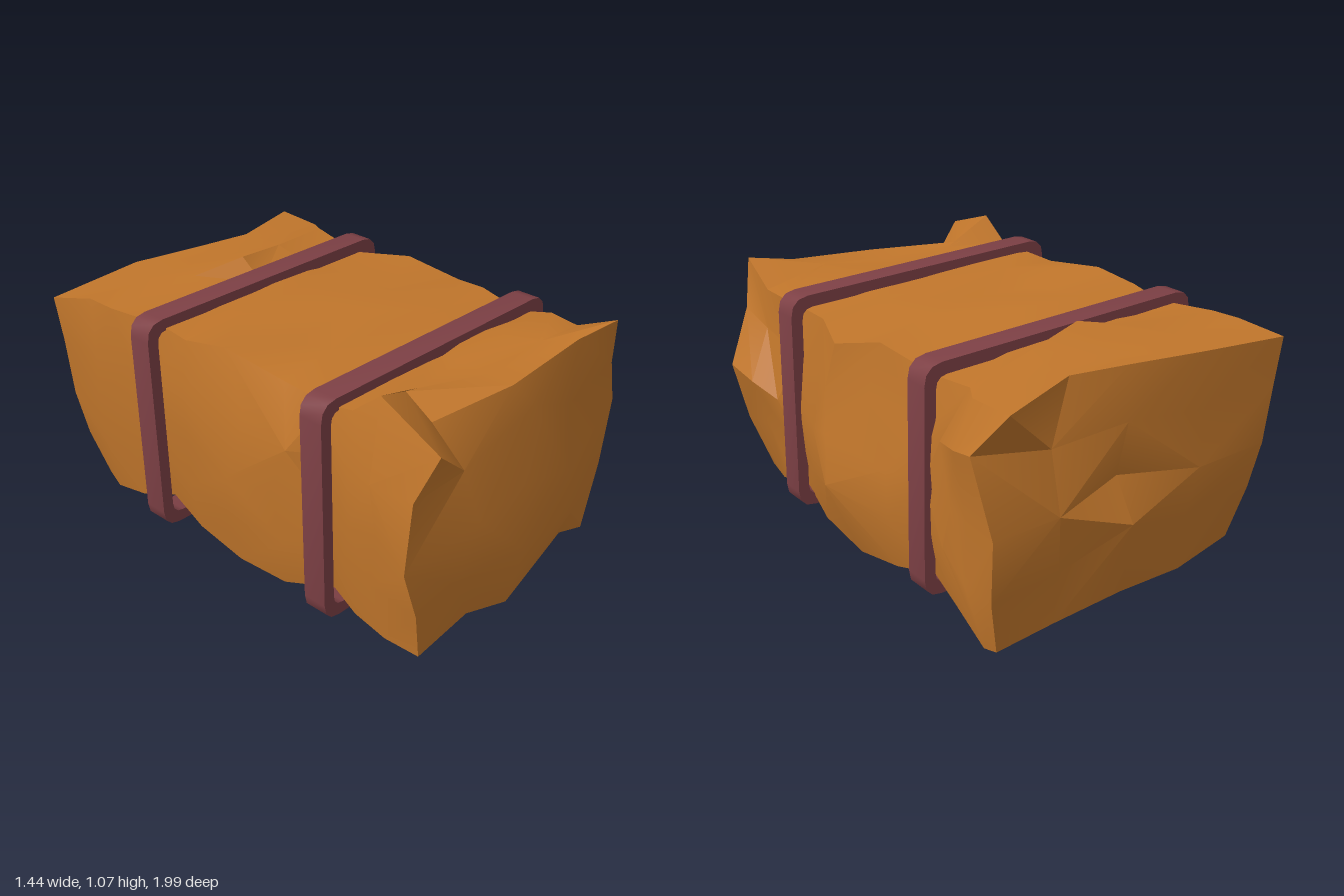
import * as THREE from 'three';
import { toCreasedNormals } from 'three/addons/utils/BufferGeometryUtils.js';

const { lerp } = THREE.MathUtils;

// Repeatable value in -1..1 for a grid point
function jitter(i, j, k, n) {
  const s = Math.sin(i * 12.99 + j * 78.23 + k * 37.72 + n * 19.19) * 43758.5453;
  return (s - Math.floor(s)) * 2 - 1;
}

// Sections along the bale: z, bottom, top, extra half width
const SECTIONS = [
  [-0.95, 0.05, 0.96, 0], [-0.8, 0.04, 0.97, 0.02], [-0.61, 0.07, 0.98, 0],
  [-0.46, 0.11, 0.95, -0.03], [-0.25, 0.06, 0.97, 0.01], [0, 0.03, 0.96, 0.03],
  [0.25, 0.04, 0.97, 0.01], [0.46, 0.11, 0.95, -0.03], [0.6, 0.07, 0.97, 0],
  [0.74, 0.06, 0.98, 0.01], [0.93, 0.1, 0.98, 0],
];
const LEFT_X = [-0.62, -0.65, -0.66, -0.66, -0.64];
const RIGHT_X = [0.58, 0.61, 0.62, 0.6, 0.56];
// Tilt of the underside and top from left to right
const BOTTOM_TILT = [0.04, 0.01, 0, -0.015, 0];
const TOP_TILT = [0.015, 0.01, 0.005, -0.005, -0.03];

// Rims of the two end faces: bottom and top rows, then the side points between
const FRONT = {
  bottom: [[-0.64, 0.11, 0.93], [-0.35, 0.13, 0.92], [-0.14, 0.08, 0.95], [0.28, 0.16, 0.9], [0.51, 0.05, 0.86]],
  top: [[-0.63, 0.98, 0.99], [-0.41, 0.93, 0.77], [-0.06, 0.97, 0.86], [0.35, 1.0, 0.86], [0.54, 1.03, 0.91]],
  left: [[-0.66, 0.3, 0.93], [-0.72, 0.51, 0.92], [-0.67, 0.78, 0.91]],
  right: [[0.62, 0.32, 0.85], [0.69, 0.59, 0.84], [0.58, 0.82, 0.88]],
};
const BACK = {
  bottom: [[-0.6, 0.08, -0.9], [-0.31, 0.04, -0.92], [0, 0.05, -0.92], [0.32, 0.02, -0.9], [0.6, 0.02, -0.92]],
  top: [[-0.72, 0.95, -1], [-0.3, 0.98, -0.98], [0.0, 0.98, -0.91], [0.24, 0.98, -0.86], [0.59, 0.96, -0.97]],
  left: [[-0.66, 0.3, -0.94], [-0.69, 0.5, -0.97], [-0.7, 0.75, -0.99]],
  right: [[0.64, 0.24, -0.94], [0.65, 0.5, -0.96], [0.68, 0.8, -0.87]],
};

// Single peaks and folds, by grid position
const PEAKS = {
  // top ridges
  '0,4,9': [-0.59, 1.08, 0.69], '1,4,9': [-0.4, 1.0, 0.64], '2,4,9': [-0.04, 0.96, 0.73],
  '0,4,8': [-0.6, 0.98, 0.57], '3,4,8': [0.2, 0.99, 0.58], '0,4,6': [-0.6, 0.97, 0.23],
  '0,4,5': [-0.62, 1.01, -0.06], '4,4,5': [0.63, 0.91, 0.06], '2,4,4': [0, 1.0, -0.25], '4,4,4': [0.57, 0.97, -0.17],
  '0,4,2': [-0.66, 0.98, -0.69], '1,4,2': [-0.25, 1.0, -0.65], '2,4,2': [-0.04, 1.04, -0.58],
  '3,4,2': [0.22, 1.0, -0.63], '4,4,2': [0.55, 0.96, -0.7],
  // side of the bale on +x, with its pleats
  '4,2,9': [0.68, 0.56, 0.68], '4,3,9': [0.57, 0.77, 0.72], '4,1,9': [0.61, 0.34, 0.68], '4,3,8': [0.55, 0.72, 0.57],
  '4,0,9': [0.55, 0.06, 0.69], '4,0,8': [0.56, 0.09, 0.57], '4,1,8': [0.57, 0.3, 0.57],
  '4,1,5': [0.72, 0.34, 0.03], '4,2,5': [0.68, 0.53, 0.08], '4,3,5': [0.65, 0.72, 0.11], '4,3,4': [0.6, 0.75, -0.12],
  '4,2,2': [0.58, 0.47, -0.62], '4,1,1': [0.65, 0.25, -0.8], '4,2,1': [0.63, 0.49, -0.78], '4,3,1': [0.66, 0.77, -0.75],
  // other side and underside
  '0,2,5': [-0.7, 0.5, 0], '0,3,5': [-0.67, 0.8, 0.08], '0,2,6': [-0.66, 0.5, 0.2], '0,3,6': [-0.69, 0.75, 0.32],
  '3,0,6': [0.33, 0.01, 0.28], '2,0,5': [0, 0.02, 0.05], '4,0,1': [0.61, 0.01, -0.86],
  // front face
  '1,1,10': [-0.44, 0.33, 0.93], '2,1,10': [-0.04, 0.27, 0.95], '3,1,10': [0.36, 0.28, 0.92],
  '1,2,10': [-0.3, 0.52, 0.92], '2,2,10': [0, 0.55, 0.92], '3,2,10': [0.27, 0.47, 0.92],
  '1,3,10': [-0.34, 0.74, 0.87], '2,3,10': [0.06, 0.84, 0.88], '3,3,10': [0.3, 0.75, 0.88],
  // back face
  '3,3,0': [0.33, 0.73, -0.88], '2,3,0': [0, 0.76, -0.92], '2,2,0': [0.02, 0.54, -0.89],
  '3,2,0': [0.35, 0.5, -0.96], '2,1,0': [0, 0.36, -0.97],
};

function endPoint(rim, i, j, k) {
  if (j === 0) return rim.bottom[i];
  if (j === 4) return rim.top[i];
  if (i === 0) return rim.left[j - 1];
  if (i === 4) return rim.right[j - 1];
  // Inside the face, blend the rims and crumple a little
  const L = rim.left[j - 1], R = rim.right[j - 1], B = rim.bottom[i], T = rim.top[i];
  return [
    lerp(L[0], R[0], i / 4) + 0.03 * jitter(i, j, k, 1),
    lerp(B[1], T[1], j / 4) + 0.03 * jitter(i, j, k, 2),
    (lerp(L[2], R[2], i / 4) + lerp(B[2], T[2], j / 4)) / 2,
  ];
}

function balePoint(i, j, k) {
  const peak = PEAKS[`${i},${j},${k}`];
  if (peak) return peak;
  if (k === 0) return endPoint(BACK, i, j, k);
  if (k === 10) return endPoint(FRONT, i, j, k);
  const [z, low, high, wide] = SECTIONS[k];
  const loose = k === 3 || k === 7 ? 0.3 : 1;
  return [
    lerp(LEFT_X[j] - wide, RIGHT_X[j] + wide, i / 4) + 0.015 * loose * jitter(i, j, k, 1),
    lerp(low + BOTTOM_TILT[i], high + TOP_TILT[i], j / 4) + 0.015 * loose * jitter(i, j, k, 2),
    z + 0.04 * loose * jitter(i, j, k, 3),
  ];
}

// Crumpled bale: a gridded box with every grid point moved
function createBale() {
  const geometry = new THREE.BoxGeometry(4, 4, 10, 4, 4, 10);
  geometry.deleteAttribute('normal');
  geometry.deleteAttribute('uv');
  const p = geometry.attributes.position;
  for (let n = 0; n < p.count; n++) {
    const i = Math.round(p.getX(n) + 2), j = Math.round(p.getY(n) + 2), k = Math.round(p.getZ(n) + 5);
    p.setXYZ(n, ...balePoint(i, j, k));
  }
  // Fold each cell along the diagonal that stands further out
  const index = geometry.index.array;
  const centre = new THREE.Vector3(0, 0.5, 0);
  const at = (n) => new THREE.Vector3().fromBufferAttribute(p, n);
  const reach = (m, n) => at(m).add(at(n)).multiplyScalar(0.5).distanceTo(centre);
  for (let q = 0; q < index.length; q += 6) {
    const [a, b, d, , c] = index.subarray(q, q + 6);
    if (reach(a, c) > reach(b, d)) index.set([a, b, c, a, c, d], q);
  }
  const mesh = new THREE.Mesh(toCreasedNormals(geometry, 0.5),
    new THREE.MeshStandardMaterial({ color: 0xc1762b }));
  mesh.name = 'bale';
  return mesh;
}

// Closed loop through four corners, each corner rounded
function roundedLoop(path, corners, r) {
  const v = corners.map(([x, y]) => new THREE.Vector2(x, y));
  v.forEach((c, n) => {
    const before = v[(n + 3) % 4], after = v[(n + 1) % 4];
    const a = c.clone().add(before.clone().sub(c).setLength(r));
    const b = c.clone().add(after.clone().sub(c).setLength(r));
    if (n === 0) path.moveTo(a.x, a.y); else path.lineTo(a.x, a.y);
    path.quadraticCurveTo(c.x, c.y, b.x, b.y);
  });
  path.closePath();
  return path;
}

// Strap: a flat band around the bale
function createStrap(name, z, shift) {
  const shape = roundedLoop(new THREE.Shape(),
    [[-0.69, 0.06], [0.635, 0.045], [0.62, 0.99], [-0.7, 1.015]], 0.08);
  shape.holes.push(roundedLoop(new THREE.Path(),
    [[-0.64, 0.11], [0.585, 0.095], [0.57, 0.94], [-0.65, 0.965]], 0.05));
  const geometry = new THREE.ExtrudeGeometry(shape, { depth: 0.105, bevelEnabled: false, curveSegments: 3 });
  geometry.translate(shift, 0, z - 0.0525);
  const mesh = new THREE.Mesh(toCreasedNormals(geometry, 0.7),
    new THREE.MeshStandardMaterial({ color: 0x7d4045 }));
  mesh.name = name;
  return mesh;
}

export function createModel() {
  const model = new THREE.Group();
  model.name = 'strappedBale';
  model.add(createBale(), createStrap('frontStrap', 0.46, 0), createStrap('backStrap', -0.46, -0.01));
  return model;
}
